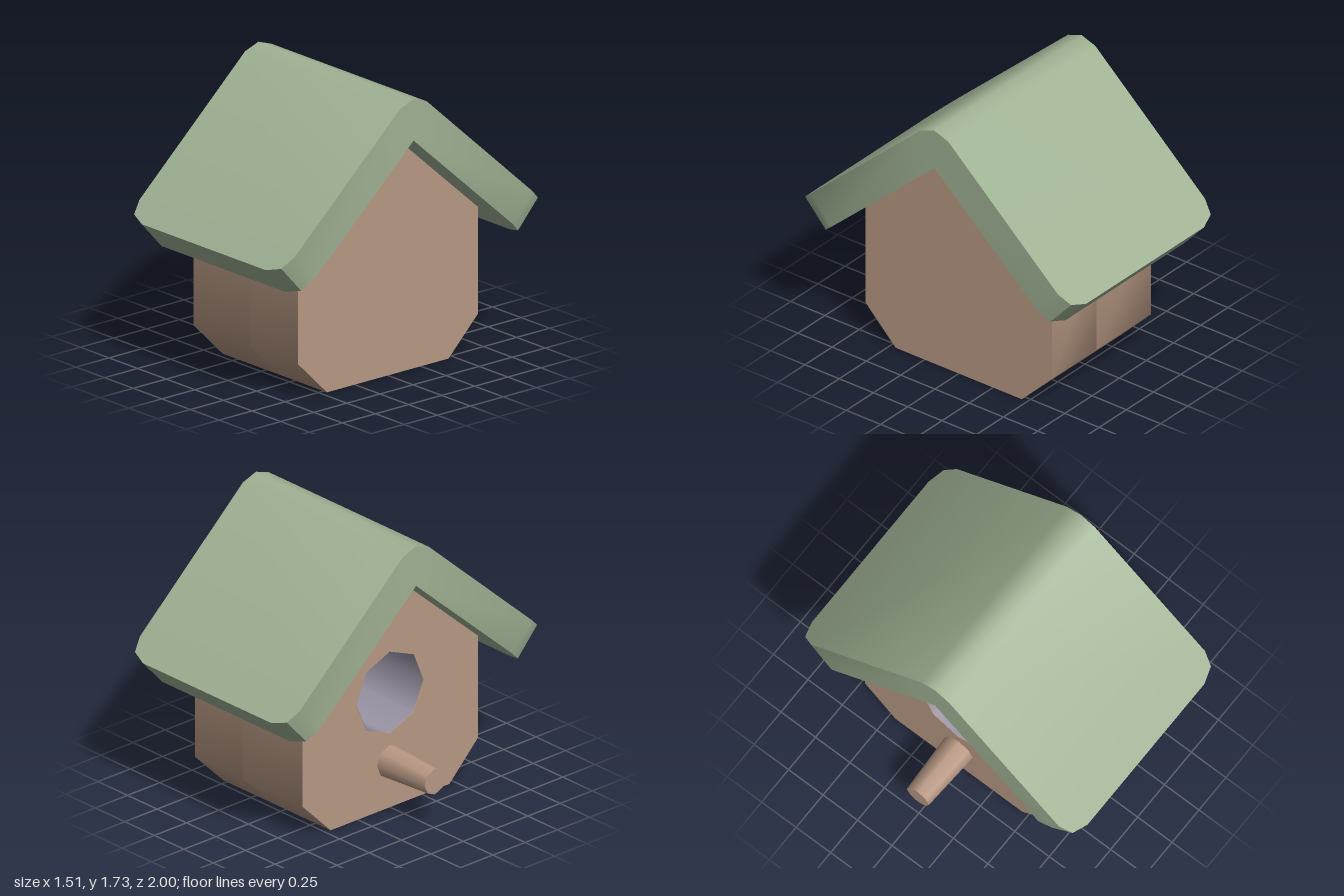
import * as THREE from 'three';
import { toCreasedNormals } from 'three/addons/utils/BufferGeometryUtils.js';

const CREASE = 0.83;

const mat = (name, color, side = THREE.FrontSide) => {
  const m = new THREE.MeshStandardMaterial({ color, side });
  m.name = name;
  return m;
};

const part = (name, geometry, material) => {
  const mesh = new THREE.Mesh(geometry, material);
  mesh.name = name;
  return mesh;
};

// Gable outline of the box, extruded along x, optionally pierced by an octagon
function houseSlice(x0, x1, hole) {
  const shape = new THREE.Shape([
    [-0.46, 0], [0.46, 0], [0.68, 0.22], [0.68, 0.87],
    [0, 1.475], [-0.68, 0.87], [-0.68, 0.22],
  ].map(([u, v]) => new THREE.Vector2(u, v)));
  if (hole) {
    const pts = [];
    for (let i = 0; i < 8; i++) {
      const a = -i * Math.PI / 4;
      pts.push(new THREE.Vector2(hole.r * Math.cos(a), hole.y + hole.r * Math.sin(a)));
    }
    shape.holes.push(new THREE.Path(pts));
  }
  const g = new THREE.ExtrudeGeometry(shape, { depth: x1 - x0, bevelEnabled: false });
  g.rotateY(Math.PI / 2).translate(x0, 0, 0);
  return toCreasedNormals(g, CREASE);
}

// Bent roof slab: rectangular sections from one eave over the ridge to the other
function roofGeometry() {
  const X0 = -0.6, X1 = 0.755;
  // outer z, outer y, inner z, inner y, inset of the rounded corner
  const half = [
    [0.10, 1.69, 0.05, 1.43, 0],
    [0.90, 0.97, 0.75, 0.805, 0],
    [0.97, 0.907, 0.82, 0.742, 0.035],
    [1.00, 0.88, 0.85, 0.715, 0.135],
  ];
  const mirrored = half.map(([oz, oy, iz, iy, s]) => [-oz, oy, -iz, iy, s]).reverse();
  const stations = [...mirrored, [0, 1.725, 0, 1.475, 0], ...half];
  const rings = stations.map(([oz, oy, iz, iy, s]) => [
    [X0 + s, oy, oz], [X1 - s, oy, oz], [X1 - s, iy, iz], [X0 + s, iy, iz],
  ]);
  const pos = [];
  const quad = (a, b, c, d) => pos.push(...a, ...b, ...c, ...a, ...c, ...d);
  for (let i = 0; i < rings.length - 1; i++) {
    const p = rings[i], q = rings[i + 1];
    for (let k = 0; k < 4; k++) {
      const n = (k + 1) % 4;
      quad(p[k], q[k], q[n], p[n]);
    }
  }
  const first = rings[0], last = rings[rings.length - 1];
  quad(first[0], first[1], first[2], first[3]);
  quad(last[3], last[2], last[1], last[0]);
  const g = new THREE.BufferGeometry();
  g.setAttribute('position', new THREE.Float32BufferAttribute(pos, 3));
  return toCreasedNormals(g, CREASE);
}

export function createModel() {
  const group = new THREE.Group();
  group.name = 'birdhouse';
  const wood = mat('wood', 0xb89984);
  const green = mat('roofGreen', 0xa0b294);
  const lining = mat('entranceLining', 0x9c97a8, THREE.DoubleSide);

  // Box, with the entrance pocket in its -x end
  const hole = { y: 0.725, r: 0.26 };
  const house = new THREE.Group();
  house.name = 'house';
  house.add(part('entranceWall', houseSlice(-0.38, 0.12, hole), wood));
  house.add(part('backWall', houseSlice(0.12, 0.53), wood));
  group.add(house);

  // Lining and floor of the entrance
  const tube = new THREE.CylinderGeometry(0.257, 0.257, 0.495, 8, 1, true);
  tube.rotateZ(Math.PI / 2).translate(-0.13, hole.y, 0);
  group.add(part('entranceLining', tube, lining));
  const floor = new THREE.CircleGeometry(0.257, 8);
  floor.rotateY(-Math.PI / 2).translate(0.115, hole.y, 0);
  group.add(part('entranceEnd', floor, lining));

  group.add(part('roof', roofGeometry(), green));

  // Tapered perch below the entrance
  const perch = new THREE.CylinderGeometry(0.08, 0.101, 0.385, 8);
  perch.rotateZ(Math.PI / 2).translate(-0.5675, 0.293, 0);
  group.add(part('perch', perch, wood));

  return group;
}
